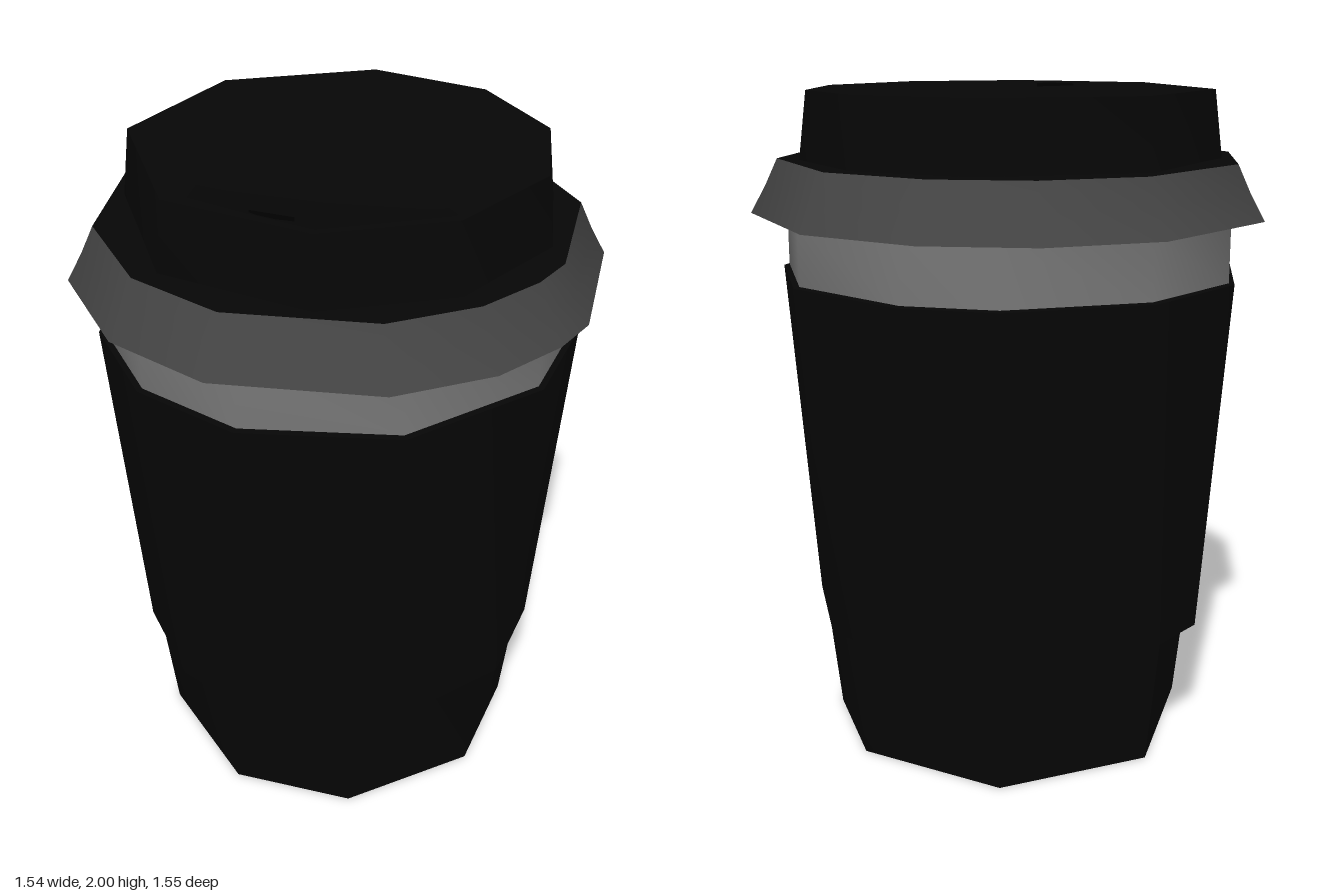
import * as THREE from 'three';
import { toCreasedNormals } from 'three/addons/utils/BufferGeometryUtils.js';

const DARK = 0x060606;
const LIGHT = 0x777777;
const GREY = 0x444444;

// Corner angles in degrees, measured from the front towards +x
const BASE = [-15, 24, 69, 107, 145, 195, 246, 299];
const BODY = [-2, 35, 73, 103, 138, 173, 196, 232, 264, 300, 330];
const RIM = [-5, 30, 52, 69, 80, 114, 152, 180, 204, 230, 267, 301, 330];
const LID = [-78, -28, 15, 51, 87, 120, 154, 190, 236];

// Turned part with few sides, whose corners sit at the given angles
function turned(name, profile, angles, color) {
  const points = profile.map(([r, y]) => new THREE.Vector2(r, y));
  const geometry = new THREE.LatheGeometry(points, angles.length);
  const pos = geometry.attributes.position;
  for (let i = 0; i <= angles.length; i++) {
    const a = THREE.MathUtils.degToRad(angles[i % angles.length]);
    points.forEach((p, j) => {
      pos.setXYZ(i * points.length + j, p.x * Math.sin(a), p.y, p.x * Math.cos(a));
    });
  }
  const material = new THREE.MeshStandardMaterial({ color });
  const mesh = new THREE.Mesh(toCreasedNormals(geometry, 0.9), material);
  mesh.name = name;
  return mesh;
}

export function createModel() {
  const group = new THREE.Group();
  group.name = 'takeawayCup';

  // Tapered foot of the cup, nearly flush with the sleeve, with its closed bottom
  group.add(turned('cupBase', [[0, 0], [0.56, 0], [0.605, 0.4]], BASE, DARK));

  // Sleeve with a small lip at each end
  group.add(turned('sleeve', [[0.57, 0.39], [0.625, 0.39], [0.707, 1.46], [0.66, 1.47]], BODY, DARK));

  // Bare cup wall between the sleeve and the lid
  group.add(turned('cupBand', [[0.69, 1.46], [0.69, 1.636]], BODY, LIGHT));

  // Flared lid rim and the flat deck above it
  group.add(turned('lidRim', [[0.62, 1.635], [0.778, 1.64], [0.733, 1.72], [0.695, 1.8]], RIM, GREY));
  group.add(turned('lidDeck', [[0.695, 1.8], [0.55, 1.802]], RIM, DARK));

  // Raised lid top with a shallow dished centre
  group.add(turned('lidTop', [[0.63, 1.8], [0.605, 2], [0.575, 2], [0.47, 1.965], [0, 1.965]], LID, DARK));

  // Sip opening on the slope near the front edge
  const sip = new THREE.Mesh(
    new THREE.CylinderGeometry(0.06, 0.06, 0.02, 3),
    new THREE.MeshStandardMaterial({ color: 0x000000 })
  );
  sip.name = 'sipHole';
  sip.scale.set(1.2, 1, 0.5);
  sip.position.set(0.01, 1.985, 0.515);
  group.add(sip);

  return group;
}
